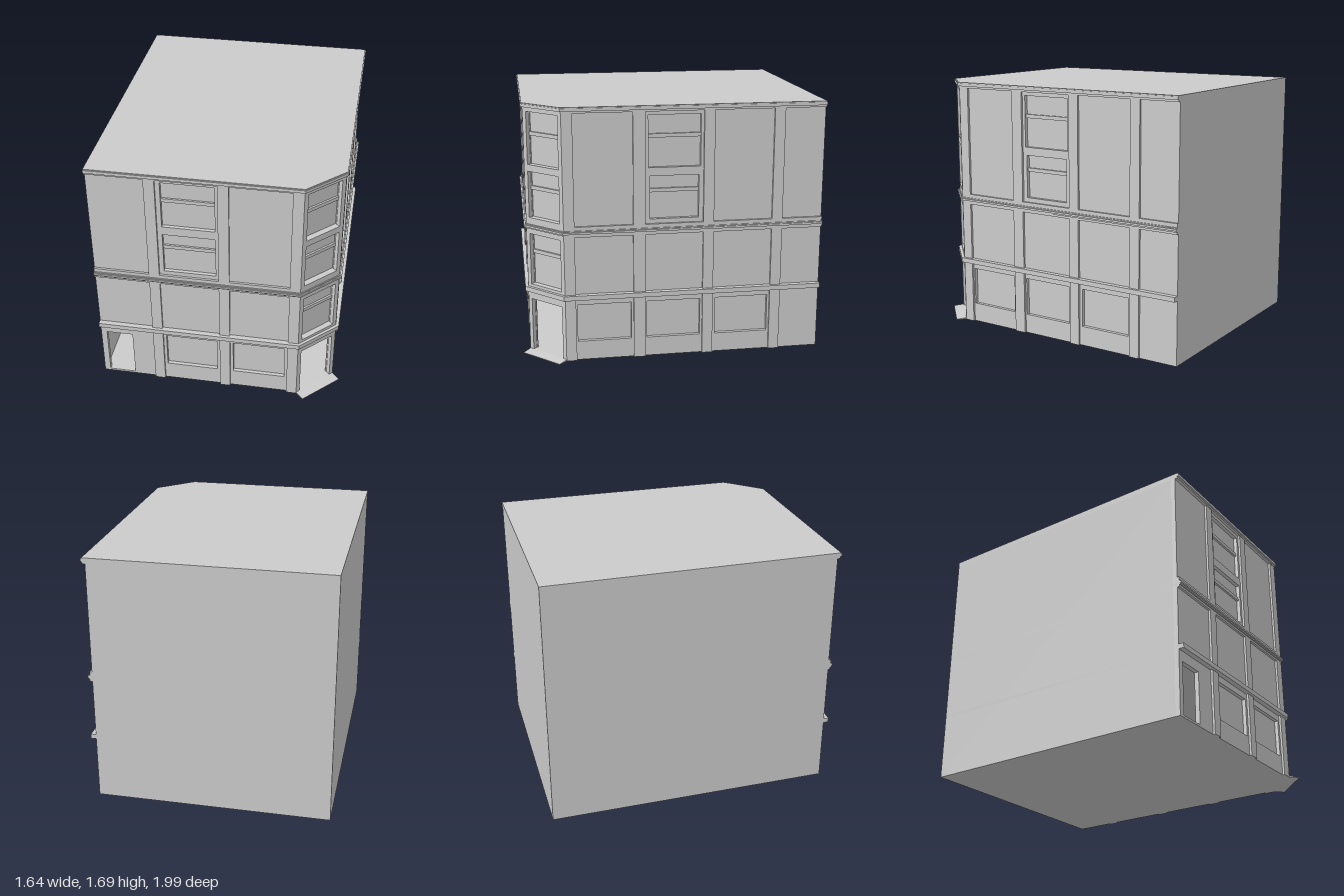
import * as THREE from 'three';

const MAT = new THREE.MeshStandardMaterial({ color: 0xcccccc, flatShading: true });
const LEFT = -0.82, BACK = -1, FRONT = 0.94, RIGHT = 0.77, CUT = 0.23;
const RELIEF = 0.015, DEPTH = 0.045, TOP = 1.66;

function add(parent, name, geometry) {
  const mesh = new THREE.Mesh(geometry, MAT);
  mesh.name = name;
  parent.add(mesh);
  return mesh;
}

// Box given by its limits
function box(parent, name, x0, x1, y0, y1, z0, z1) {
  const g = new THREE.BoxGeometry(x1 - x0, y1 - y0, z1 - z0);
  g.translate((x0 + x1) / 2, (y0 + y1) / 2, (z0 + z1) / 2);
  return add(parent, name, g);
}

// Horizontal slab with the cut-corner plan, street sides pushed out by d
function planSlab(parent, name, y0, y1, d) {
  const k = d * Math.tan(Math.PI / 8);
  const pts = [
    [LEFT, BACK], [LEFT, FRONT + d], [RIGHT - CUT + k, FRONT + d],
    [RIGHT + d, FRONT - CUT + k], [RIGHT + d, BACK],
  ].map(([x, z]) => new THREE.Vector2(x, -z));
  const g = new THREE.ExtrudeGeometry(new THREE.Shape(pts), { depth: y1 - y0, bevelEnabled: false });
  g.rotateX(-Math.PI / 2).translate(0, y0, 0);
  return add(parent, name, g);
}

function rect(Type, [x0, x1, y0, y1]) {
  return new Type([[x0, y0], [x1, y0], [x1, y1], [x0, y1]].map(p => new THREE.Vector2(...p)));
}

// Wall with openings: local x runs along the wall, local z points outward
function facade(parent, name, spec) {
  const f = new THREE.Group();
  f.name = name;
  f.position.set(...spec.position);
  f.rotation.y = spec.angle;
  parent.add(f);

  const shape = rect(THREE.Shape, [spec.span[0], spec.span[1], 0, TOP]);
  for (const o of [...spec.windows, ...spec.doors]) shape.holes.push(rect(THREE.Path, o));
  const wall = new THREE.ExtrudeGeometry(shape, { depth: DEPTH - spec.relief, bevelEnabled: false });
  add(f, 'wall', wall.translate(0, 0, -DEPTH));

  for (const [x0, x1, y0, y1, bar] of spec.windows) {
    box(f, 'windowPane', x0 - 0.01, x1 + 0.01, y0 - 0.01, y1 + 0.01, -DEPTH - 0.01, -DEPTH + 0.005);
    if (bar) box(f, 'sashBar', x0, x1, bar, bar + 0.025, -DEPTH, -DEPTH + 0.018);
  }
  for (const [x0, x1] of spec.pilasters) box(f, 'pilaster', x0, x1, 0, TOP, -DEPTH, 0);
  return f;
}

export function createModel() {
  const model = new THREE.Group();
  model.name = 'cornerBuilding';

  // Front street side
  const front = facade(model, 'frontFacade', {
    position: [0, 0, FRONT], angle: 0, span: [LEFT, 0.53], relief: RELIEF,
    windows: [
      [-0.35, -0.01, 1.30, 1.63, 1.482], [-0.35, -0.01, 0.95, 1.24, 1.125],
      [-0.36, -0.01, 0.13, 0.385], [0.10, 0.45, 0.13, 0.385],
    ],
    doors: [[-0.78, -0.60, 0.015, 0.36]],
    pilasters: [[-0.45, -0.38], [0.01, 0.08], [0.47, 0.54]],
  });
  box(front, 'spandrelBand', LEFT, 0.54, 0.85, 0.92, -DEPTH, 0);

  // Right street side (local x = -z)
  const right = facade(model, 'rightFacade', {
    position: [RIGHT, 0, 0], angle: Math.PI / 2, span: [-0.70, 1], relief: RELIEF,
    windows: [
      [-0.16, 0.18, 1.29, 1.63, 1.482], [-0.15, 0.17, 0.95, 1.235, 1.125],
      ...[-0.63, -0.17, 0.29].map(x => [x, x + 0.355, 0.13, 0.385]),
    ],
    doors: [],
    pilasters: [[-0.71, -0.64], [-0.26, -0.18], [0.20, 0.27], [0.66, 0.73]],
  });
  box(right, 'spandrelBand', -0.71, 1, 0.85, 0.92, -DEPTH, 0);

  // Cut corner with the entrance
  const width = CUT * Math.SQRT2, u0 = 0.03, u1 = width - 0.03;
  const corner = facade(model, 'cornerFacade', {
    position: [RIGHT - CUT, 0, FRONT], angle: Math.PI / 4, span: [0, width], relief: 0,
    windows: [[u0, u1, 1.295, 1.64, 1.482], [u0, u1, 0.94, 1.25, 1.125], [u0, u1, 0.48, 0.83, 0.692]],
    doors: [[u0, u1, 0.01, 0.375]],
    pilasters: [],
  });

  // Sloped doorstep
  const stepShape = new THREE.Shape([[-0.04, 0], [0.07, 0], [0.07, 0.003], [0, 0.012], [-0.04, 0.012]]
    .map(p => new THREE.Vector2(...p)));
  const step = new THREE.ExtrudeGeometry(stepShape, { depth: width, bevelEnabled: false });
  step.rotateY(-Math.PI / 2).translate(width, 0, 0);
  add(corner, 'doorstep', step);

  // Plain party walls and floor around the hollow interior
  box(model, 'leftWall', LEFT, LEFT + 0.01, 0, TOP, BACK, FRONT - RELIEF);
  box(model, 'backWall', LEFT, RIGHT - RELIEF, 0, TOP, BACK, BACK + 0.01);
  planSlab(model, 'floor', 0, 0.01, -RELIEF);

  // String courses, cornice and roof
  planSlab(model, 'lowerBelt', 0.428, 0.46, 0.02);
  planSlab(model, 'middleBeltBase', 0.865, 0.875, 0.007);
  planSlab(model, 'middleBelt', 0.875, 0.888, 0.016);
  planSlab(model, 'middleBeltCap', 0.888, 0.895, 0.007);
  planSlab(model, 'corniceBase', 1.655, 1.668, 0.004);
  planSlab(model, 'cornice', 1.668, 1.688, 0.013);
  planSlab(model, 'roof', 1.688, 1.694, 0.007);
  return model;
}
